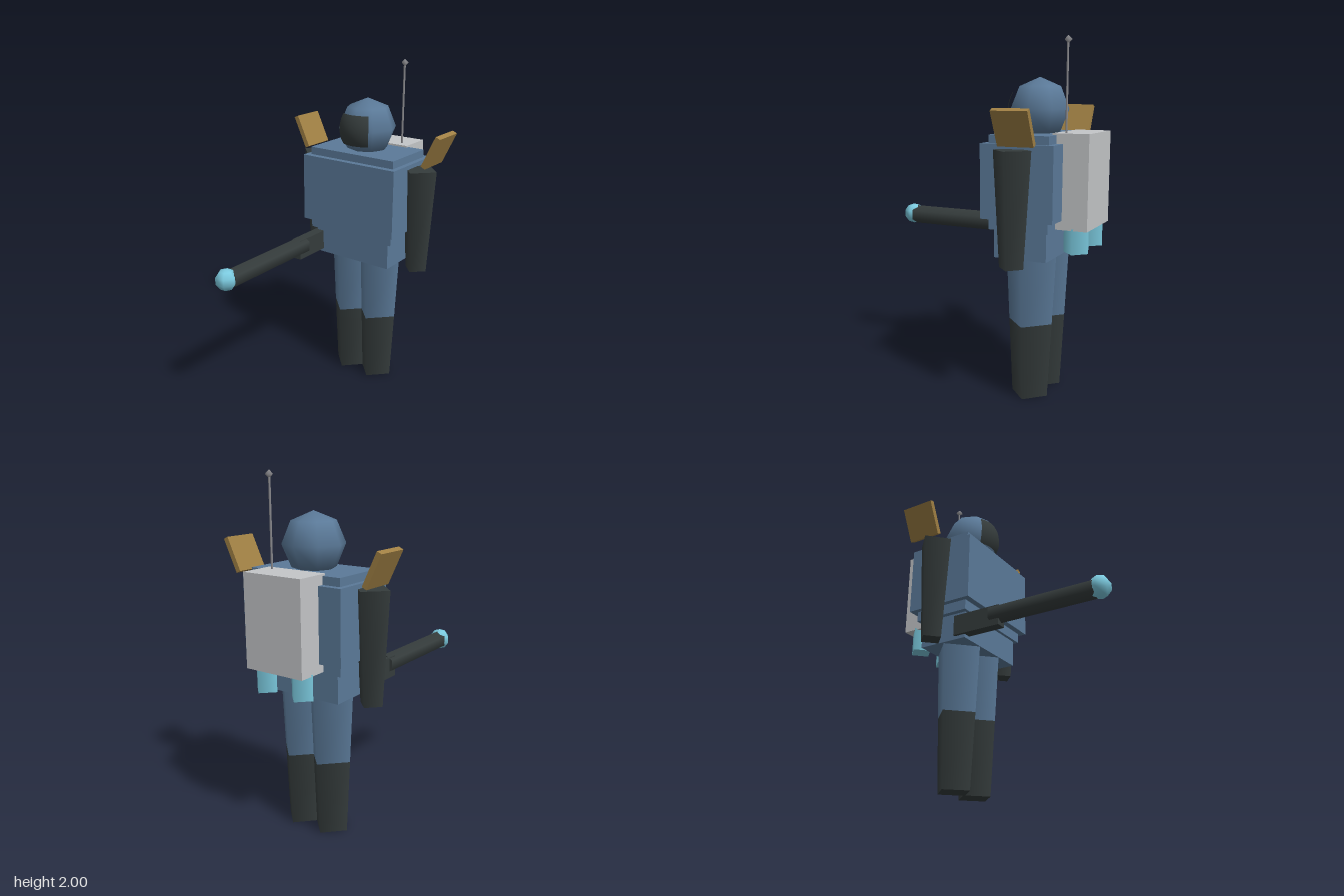
import * as THREE from 'three';

const mat = (name, color) => {
  const m = new THREE.MeshStandardMaterial({ color });
  m.name = name;
  return m;
};

export function createModel() {
  const root = new THREE.Group();
  root.name = 'armouredTrooper';
  const blue = mat('armourBlue', 0x5b7a99);
  const dark = mat('charcoal', 0x353c3c);
  const grey = mat('packGrey', 0xc4c6c8);
  const cyan = mat('glowCyan', 0x7ccbe0);
  const gold = mat('plateGold', 0xa08044);
  const steel = mat('antennaSteel', 0x8c8c90);
  const Z = -0.345; // body axis

  const add = (name, geo, material, x, y, z) => {
    const m = new THREE.Mesh(geo, material);
    m.name = name;
    m.position.set(x, y, z);
    root.add(m);
    return m;
  };
  const box = (name, w, h, d, material, x, y, z) =>
    add(name, new THREE.BoxGeometry(w, h, d), material, x, y, z);
  // Tapered upright limb between two heights
  const limb = (name, rTop, rBottom, y0, y1, sides, material, x, z) =>
    add(name, new THREE.CylinderGeometry(rTop, rBottom, y1 - y0, sides), material, x, (y0 + y1) / 2, z);

  // Torso layers
  box('chestArmour', 0.64, 0.405, 0.416, blue, 0, 1.2425, Z);
  box('torso', 0.58, 0.51, 0.342, blue, 0, 1.235, Z);
  box('pelvis', 0.52, 0.17, 0.304, blue, 0, 0.905, Z);

  // Arms, legs, shoulder plates and thrusters, mirrored
  for (const s of [1, -1]) {
    const side = s > 0 ? 'left' : 'right';
    limb(side + 'Arm', 0.108, 0.07, 0.8, 1.42, 4, dark, s * 0.368, Z);
    limb(side + 'Thigh', 0.151, 0.13, 0.43, 0.85, 4, blue, s * 0.1, Z);
    limb(side + 'Boot', 0.13, 0.108, 0, 0.43, 4, dark, s * 0.1, Z);
    box(side + 'ShoulderPlate', 0.03, 0.2, 0.2, gold, s * 0.457, 1.538, -0.39).rotation.z = -s * 0.44;
    limb(side + 'Thruster', 0.07, 0.07, 0.86, 1.0, 4, cyan, s * 0.12, -0.613);
  }

  // Head with a curved visor
  add('head', new THREE.SphereGeometry(0.172, 8, 4), blue, 0, 1.62, Z);
  const halfW = 0.62, halfH = 0.54;
  add('visor', new THREE.SphereGeometry(0.175, 6, 6, Math.PI / 2 - halfW, halfW * 2,
    Math.PI / 2 - halfH, halfH * 2), dark, 0, 1.62, Z);

  // Backpack and antenna
  box('backpack', 0.368, 0.51, 0.2, grey, 0, 1.245, -0.594);
  limb('antennaRod', 0.006, 0.006, 1.48, 1.98, 6, steel, 0.12, -0.546);
  add('antennaTip', new THREE.SphereGeometry(0.022, 5, 2), steel, 0.12, 1.978, -0.546);

  // Hip-held gun
  box('gunGrip', 0.062, 0.12, 0.3, dark, -0.245, 0.9, -0.11);
  const barrel = limb('gunBarrel', 0.058, 0.058, 0, 0.64, 6, dark, -0.242, 0.3);
  barrel.position.y = 0.916;
  barrel.rotation.x = Math.PI / 2;
  add('gunOrb', new THREE.SphereGeometry(0.064, 6, 5), cyan, -0.245, 0.92, 0.638);

  return root;
}
